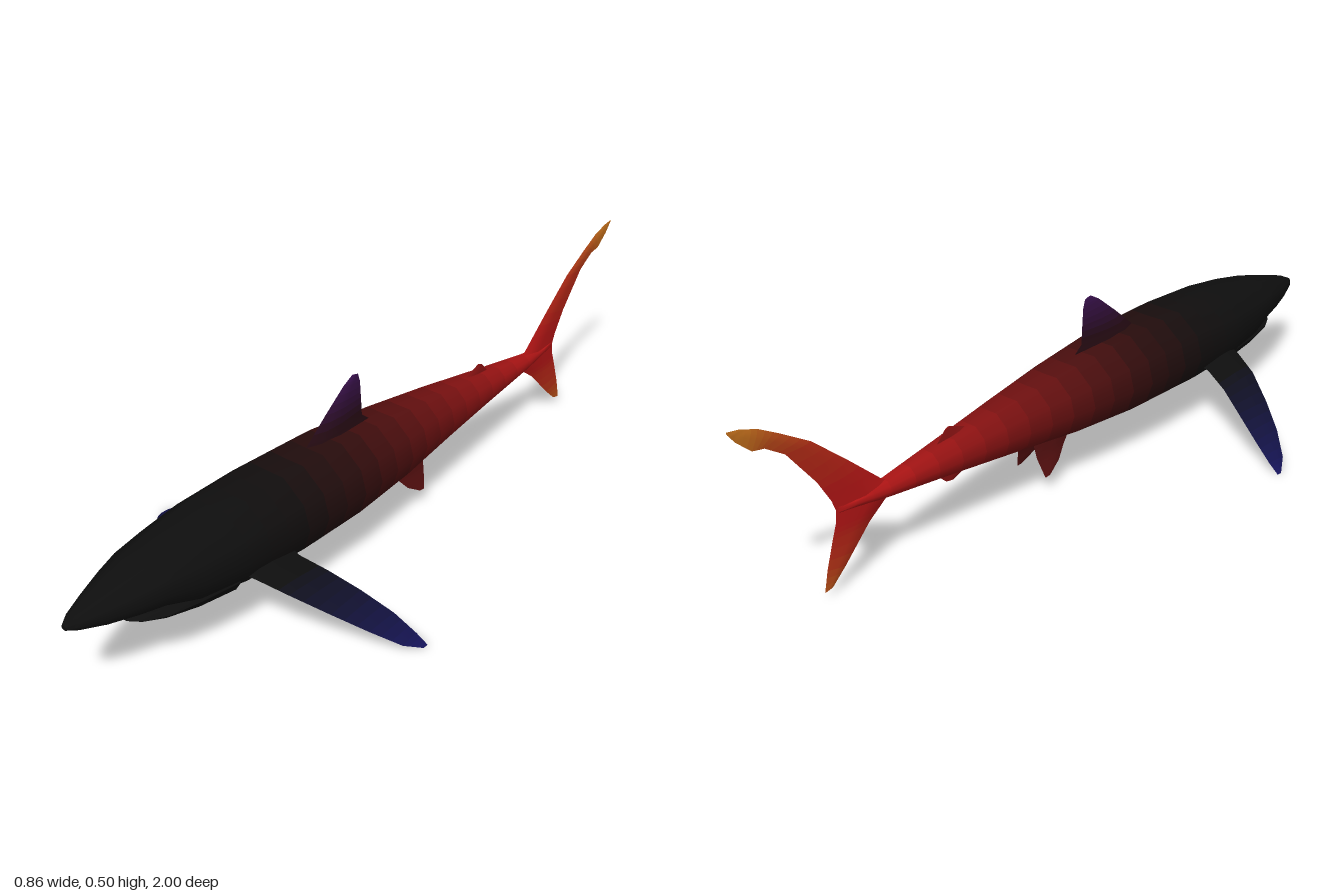
import * as THREE from 'three';
import { toCreasedNormals } from 'three/addons/utils/BufferGeometryUtils.js';

const SUB = 3; // bands between two given rings, each with its own tint

// Colour at t (0..1) along a list of evenly spaced stops
function ramp(stops, t) {
  const f = t * (stops.length - 1);
  const i = Math.min(Math.floor(f), stops.length - 2);
  return new THREE.Color(stops[i]).lerp(new THREE.Color(stops[i + 1]), f - i);
}

// Closed skin over rings of points, with one material per band
function loft(name, keyRings, stops) {
  const rings = [];
  keyRings.forEach((ring, i) => {
    const next = keyRings[i + 1];
    for (let s = 0; s < (next ? SUB : 1); s++) {
      rings.push(ring.map((p, j) => (next ? p.clone().lerp(next[j], s / SUB) : p)));
    }
  });
  const n = rings[0].length;
  const bands = rings.length - 1;
  const pts = rings.flat();
  const tris = [];
  const groups = [];
  const cap = (ring, base, flip) => {
    const c = pts.length;
    pts.push(ring.reduce((a, p) => a.add(p), new THREE.Vector3()).divideScalar(n));
    for (let j = 0; j < n; j++) {
      const a = base + j, b = base + (j + 1) % n;
      tris.push(flip ? [c, b, a] : [c, a, b]);
    }
  };
  for (let i = 0; i < bands; i++) {
    const start = tris.length;
    if (i === 0) cap(rings[0], 0, false);
    for (let j = 0; j < n; j++) {
      const a = i * n + j, b = i * n + (j + 1) % n;
      tris.push([a, a + n, b], [b, a + n, b + n]);
    }
    if (i === bands - 1) cap(rings[bands], bands * n, true);
    groups.push([start * 3, (tris.length - start) * 3]);
  }

  // Turn the faces outward, whichever way the rings run
  const centre = pts.reduce((a, p) => a.add(p), new THREE.Vector3()).divideScalar(pts.length);
  const rel = pts.map((p) => p.clone().sub(centre));
  let volume = 0;
  for (const [a, b, c] of tris) volume += rel[a].dot(rel[b].clone().cross(rel[c]));
  if (volume < 0) tris.forEach((t) => t.reverse());

  const geo = new THREE.BufferGeometry().setFromPoints(pts);
  geo.setIndex(tris.flat());
  groups.forEach(([start, count], i) => geo.addGroup(start, count, i));
  const mats = groups.map((_, i) =>
    new THREE.MeshStandardMaterial({ color: ramp(stops, (i + 0.5) / bands) }));
  const mesh = new THREE.Mesh(toCreasedNormals(geo, 1.0), mats);
  mesh.name = name;
  return mesh;
}

// Half of the twelve-sided body section, top to bottom
const HALF = [[0, 0.97], [0.4, 0.98], [0.87, 0.55], [1, 0.02], [0.84, -0.5], [0.46, -0.84], [0, -1]];
const SECTION = [...HALF, ...HALF.slice(1, -1).reverse().map(([x, y]) => [-x, y])];

// Ring from [z, top, bottom, half width]
const bodyRing = ([z, top, bottom, w]) => SECTION.map(([x, y]) =>
  new THREE.Vector3(x * w, (top + bottom) / 2 + y * (top - bottom) / 2, z));

// Lens-shaped fin from sections of [leading point, trailing point, half thickness]
function fin(name, sections, normal, stops) {
  const n = new THREE.Vector3(...normal).normalize();
  const rings = sections.map(([lead, trail, t]) => {
    const a = new THREE.Vector3(...lead), b = new THREE.Vector3(...trail);
    const at = (f, k) => a.clone().lerp(b, f).addScaledVector(n, k * t);
    return [a, at(0.2, 0.85), at(0.5, 0.9), b, at(0.5, -0.9), at(0.2, -0.85)];
  });
  return loft(name, rings, stops);
}

// Fin in the middle plane from rows of [lead z, lead y, trail z, trail y, half thickness]
const midFin = (name, rows, stops) => fin(name,
  rows.map(([az, ay, bz, by, t]) => [[0, ay, az], [0, by, bz], t]), [1, 0, 0], stops);

export function createModel() {
  const model = new THREE.Group();
  const BLACK = 0x0e0e0e, RED = 0xb31515, ORANGE = 0xc4701c;

  // Trunk from snout to tail root
  model.add(loft('body', [
    [1, 0.226, 0.214, 0.008], [0.975, 0.238, 0.203, 0.026], [0.92, 0.254, 0.187, 0.05],
    [0.85, 0.272, 0.176, 0.076], [0.79, 0.286, 0.168, 0.094], [0.7, 0.302, 0.13, 0.112],
    [0.58, 0.316, 0.108, 0.128], [0.4, 0.324, 0.096, 0.133], [0.2, 0.322, 0.097, 0.128],
    [0, 0.304, 0.111, 0.107], [-0.2, 0.281, 0.134, 0.077], [-0.4, 0.252, 0.158, 0.05],
    [-0.6, 0.224, 0.18, 0.024], [-0.735, 0.213, 0.198, 0.003],
  ].map(bodyRing), [BLACK, BLACK, BLACK, BLACK, BLACK, BLACK, BLACK, 0x110d0d,
    0x2a0c0c, 0x4e0e0e, 0x721010, 0x901212, 0xac1414, RED]));

  // Lower jaw, set back under the snout
  model.add(loft('lowerJaw', [
    [0.855, 0.17, 0.163, 0.026], [0.83, 0.174, 0.153, 0.05], [0.78, 0.185, 0.139, 0.075],
    [0.7, 0.21, 0.124, 0.098], [0.6, 0.22, 0.114, 0.11],
  ].map(bodyRing), [BLACK, BLACK]));

  // Fins along the back and belly
  model.add(midFin('dorsalFin', [
    [0.3, 0.29, 0.02, 0.285, 0.026], [0.262, 0.325, 0.07, 0.325, 0.015],
    [0.2, 0.378, 0.073, 0.375, 0.007], [0.135, 0.43, 0.076, 0.42, 0.004],
    [0.105, 0.447, 0.083, 0.443, 0.002],
  ], [0x220b0d, 0x260b14, 0x351042, 0x3b1252]));
  model.add(midFin('secondDorsalFin', [
    [-0.32, 0.25, -0.42, 0.23, 0.008], [-0.365, 0.266, -0.437, 0.244, 0.004],
    [-0.395, 0.278, -0.412, 0.272, 0.002],
  ], [0x881212, 0x881212]));
  model.add(midFin('analFin', [
    [-0.32, 0.16, -0.42, 0.175, 0.008], [-0.35, 0.148, -0.435, 0.16, 0.004],
    [-0.385, 0.135, -0.41, 0.138, 0.002],
  ], [0x881212, 0x881212]));

  // Tail fin with a long upper and a shorter lower lobe
  model.add(midFin('upperTailLobe', [
    [-0.56, 0.2, -0.741, 0.205, 0.012], [-0.61, 0.232, -0.752, 0.235, 0.009],
    [-0.7, 0.315, -0.787, 0.296, 0.005], [-0.794, 0.398, -0.862, 0.394, 0.004],
    [-0.87, 0.446, -0.912, 0.428, 0.003], [-0.925, 0.478, -0.943, 0.434, 0.003],
    [-0.97, 0.494, -0.98, 0.468, 0.002], [-1, 0.499, -0.998, 0.492, 0.001],
  ], [RED, RED, 0xb42a16, 0xba4c18, ORANGE, ORANGE]));
  model.add(midFin('lowerTailLobe', [
    [-0.56, 0.2, -0.741, 0.209, 0.012], [-0.6, 0.175, -0.745, 0.175, 0.009],
    [-0.65, 0.138, -0.757, 0.139, 0.005], [-0.725, 0.06, -0.778, 0.07, 0.003],
    [-0.765, 0.023, -0.789, 0.018, 0.001],
  ], [RED, RED, 0xb42a16, 0xba5518]));

  // Paired fins, mirrored left and right
  for (const [side, s] of [['left', 1], ['right', -1]]) {
    model.add(fin(side + 'PectoralFin', [
      [[s * 0.08, 0.18, 0.59], [s * 0.08, 0.18, 0.43], 0.014],
      [[s * 0.13, 0.168, 0.572], [s * 0.13, 0.164, 0.436], 0.01],
      [[s * 0.2, 0.143, 0.543], [s * 0.2, 0.139, 0.412], 0.006],
      [[s * 0.28, 0.101, 0.494], [s * 0.27, 0.103, 0.383], 0.005],
      [[s * 0.35, 0.06, 0.445], [s * 0.345, 0.06, 0.355], 0.004],
      [[s * 0.405, 0.02, 0.395], [s * 0.4, 0.022, 0.341], 0.003],
      [[s * 0.43, 0.001, 0.352], [s * 0.43, 0.001, 0.337], 0.001],
    ], [s * 0.5, 0.87, 0], [BLACK, BLACK, 0x10102c, 0x131248, 0x16145e]));
    model.add(fin(side + 'PelvicFin', [
      [[s * 0.024, 0.13, 0], [s * 0.024, 0.13, -0.135], 0.008],
      [[s * 0.032, 0.098, -0.034], [s * 0.032, 0.095, -0.132], 0.004],
      [[s * 0.04, 0.068, -0.06], [s * 0.04, 0.068, -0.125], 0.003],
      [[s * 0.047, 0.044, -0.1], [s * 0.047, 0.042, -0.118], 0.001],
    ], [0.96, s * 0.27, 0], [0x4e0e0e, 0x5a1010]));
  }
  return model;
}
